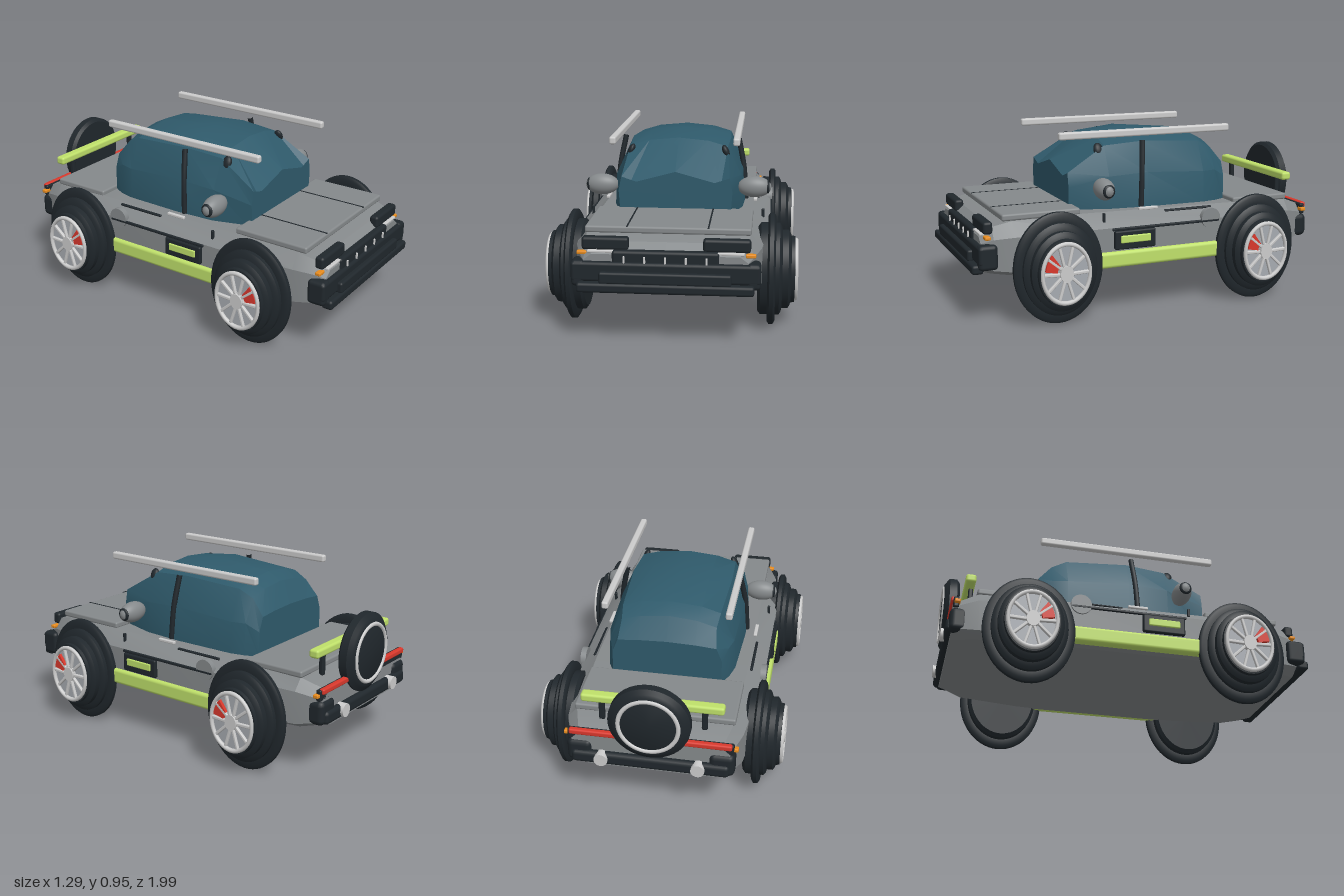
import * as THREE from 'three';
import { toCreasedNormals } from 'three/addons/utils/BufferGeometryUtils.js';
import { RoundedBoxGeometry } from 'three/addons/geometries/RoundedBoxGeometry.js';

const mat = (color) => new THREE.MeshStandardMaterial({ color });
const M = {
  paint: mat(0x85898b), light: mat(0xcccccc), rim: mat(0xa6aab0), dark: mat(0x20272c),
  glass: mat(0x2f5a6b), green: mat(0xbfe06a), red: mat(0xd8382c), orange: mat(0xe88c1e),
};

function add(parent, name, geo, material, x = 0, y = 0, z = 0) {
  const m = new THREE.Mesh(geo, material);
  m.name = name;
  m.position.set(x, y, z);
  parent.add(m);
  return m;
}

// Softly rounded block given by its size and centre
function block(parent, name, [w, h, d], [x, y, z], material) {
  const r = Math.min(w, h, d) * 0.3;
  return add(parent, name, new RoundedBoxGeometry(w, h, d, 2, r), material, x, y, z);
}

// Cylinder along the x or z axis
function drum(parent, name, r, length, axis, [x, y, z], material) {
  const geo = new THREE.CylinderGeometry(r, r, length, 32);
  if (axis === 'x') geo.rotateZ(Math.PI / 2); else geo.rotateX(Math.PI / 2);
  return add(parent, name, geo, material, x, y, z);
}

// Skin over mirrored half sections, listed bottom to top, from back to front
function loft(sections, crease) {
  const rings = sections.map(([z, half]) => {
    const other = half.slice(1, -1).reverse().map(([x, y]) => [-x, y]);
    return [...half, ...other].map(([x, y]) => [x, y, z]);
  });
  const n = rings[0].length, pos = [];
  const tri = (...corners) => corners.forEach((p) => pos.push(...p));
  for (let k = 0; k < rings.length - 1; k++) {
    for (let i = 0; i < n; i++) {
      const j = (i + 1) % n, a = rings[k], b = rings[k + 1];
      tri(a[i], a[j], b[j]);
      tri(a[i], b[j], b[i]);
    }
  }
  const first = rings[0], last = rings[rings.length - 1];
  const middle = (r) => [0, (r[0][1] + r[n / 2][1]) / 2, r[0][2]];
  for (let i = 0; i < n; i++) {
    const j = (i + 1) % n;
    tri(middle(first), first[j], first[i]);
    tri(middle(last), last[i], last[j]);
  }
  const geo = new THREE.BufferGeometry();
  geo.setAttribute('position', new THREE.Float32BufferAttribute(pos, 3));
  return toCreasedNormals(geo, crease);
}

// Lower hull: station, bottom half width, bottom, side half width, shoulder, top half width, top
function buildBody(car) {
  const stations = [
    [-0.95, 0.32, 0.28, 0.40, 0.43, 0.36, 0.47],
    [-0.82, 0.40, 0.26, 0.45, 0.46, 0.40, 0.52],
    [-0.40, 0.45, 0.25, 0.50, 0.47, 0.41, 0.53],
    [0.40, 0.45, 0.25, 0.50, 0.47, 0.41, 0.54],
    [0.78, 0.40, 0.25, 0.46, 0.46, 0.41, 0.535],
    [0.88, 0.36, 0.26, 0.43, 0.45, 0.39, 0.51],
    [0.94, 0.32, 0.27, 0.40, 0.43, 0.36, 0.46],
  ];
  const sections = stations.map(([z, wb, b, w, s, wt, t]) =>
    [z, [[0, b], [wb, b], [w, b + 0.03], [w, s], [wt, t], [0, t]]]);
  add(car, 'body', loft(sections, 0.35), M.paint);
  block(car, 'hood', [0.82, 0.035, 0.42], [0, 0.553, 0.62], M.paint);
  block(car, 'rearDeck', [0.82, 0.035, 0.34], [0, 0.535, -0.66], M.paint);
  for (const s of [-1, 1]) {
    block(car, 'hoodGroove', [0.008, 0.006, 0.4], [s * 0.2, 0.57, 0.63], M.dark);
  }
}

// Glasshouse with pillars, mirrors and roof rails
function buildCabin(car) {
  const sec = (z, ...side) => [z, [[0, 0.52], ...side]];
  add(car, 'cabin', loft([
    sec(-0.49, [0.29, 0.52], [0.29, 0.66], [0.26, 0.735], [0.15, 0.745], [0, 0.75]),
    sec(-0.42, [0.325, 0.52], [0.315, 0.70], [0.25, 0.82], [0.15, 0.85], [0, 0.865]),
    sec(-0.34, [0.345, 0.52], [0.335, 0.70], [0.26, 0.86], [0.16, 0.89], [0, 0.905]),
    sec(0, [0.36, 0.52], [0.345, 0.72], [0.275, 0.88], [0.16, 0.92], [0, 0.932]),
    sec(0.22, [0.35, 0.52], [0.34, 0.71], [0.265, 0.865], [0.16, 0.895], [0, 0.91]),
    sec(0.435, [0.29, 0.52], [0.30, 0.66], [0.285, 0.735], [0.24, 0.70], [0, 0.765]),
  ], 0.4), M.glass);
  for (const s of [-1, 1]) {
    const path = new THREE.CatmullRomCurve3([[0.36, 0.54, 0.045], [0.348, 0.72, 0.035], [0.315, 0.89, 0.02]]
      .map(([x, y, z]) => new THREE.Vector3(s * x, y, z)));
    add(car, 'doorPillar', new THREE.TubeGeometry(path, 10, 0.015, 8), M.dark);
    block(car, 'roofRail', [0.035, 0.04, 0.99], [s * 0.32, 0.935, 0], M.light);
    const mirror = add(car, 'mirror', new THREE.SphereGeometry(1, 32, 20), M.paint, s * 0.412, 0.66, 0.28);
    mirror.scale.set(0.09, 0.057, 0.05);
    const cap = add(car, 'mirrorCap', new THREE.SphereGeometry(1, 20, 12), M.dark, s * 0.482, 0.66, 0.28);
    cap.scale.set(0.014, 0.036, 0.034);
    const patch = add(car, 'windscreenClip', new THREE.SphereGeometry(1, 16, 10), M.dark, s * 0.255, 0.845, 0.25);
    patch.scale.set(0.018, 0.036, 0.026);
    patch.rotation.z = s * 0.4;
  }
}

// Sills, vents, trim lines and filler caps on both flanks
function buildFlanks(car) {
  for (const s of [-1, 1]) {
    block(car, 'sill', [0.06, 0.085, 0.76], [s * 0.49, 0.303, 0], M.green);
    block(car, 'sideVent', [0.03, 0.1, 0.23], [s * 0.505, 0.405, 0.145], M.dark);
    block(car, 'ventInsert', [0.02, 0.04, 0.17], [s * 0.518, 0.41, 0.145], M.green);
    block(car, 'trimLine', [0.016, 0.014, 0.62], [s * 0.503, 0.462, -0.04], M.dark);
    const line = block(car, 'shoulderLine', [0.014, 0.012, 0.28], [s * 0.43, 0.52, -0.2], M.dark);
    line.rotation.z = -s * 0.6;
    block(car, 'doorHandle', [0.02, 0.016, 0.11], [s * 0.415, 0.541, 0.03], M.light);
    drum(car, 'fillerCap', 0.055, 0.03, 'x', [s * 0.495, 0.475, -0.3], M.paint);
    block(car, 'shoulderPeg', [0.015, 0.05, 0.015], [s * 0.46, 0.52, 0.3], M.dark);
  }
}

function buildFront(car) {
  block(car, 'grille', [0.52, 0.1, 0.05], [0, 0.43, 0.925], M.dark);
  for (let i = -2; i <= 2; i++) {
    block(car, 'grilleBar', [0.01, 0.06, 0.012], [i * 0.1, 0.425, 0.952], M.light);
  }
  block(car, 'frontBumper', [0.92, 0.1, 0.055], [0, 0.375, 0.938], M.dark);
  block(car, 'bumperPlate', [0.64, 0.06, 0.04], [0, 0.352, 0.97], M.dark);
  block(car, 'frontLip', [0.86, 0.05, 0.06], [0, 0.303, 0.965], M.dark);
  for (const s of [-1, 1]) {
    block(car, 'bumperEnd', [0.07, 0.13, 0.1], [s * 0.425, 0.365, 0.915], M.dark);
    block(car, 'lampHousing', [0.23, 0.065, 0.05], [s * 0.295, 0.507, 0.902], M.dark);
    block(car, 'lampStrip', [0.2, 0.012, 0.03], [s * 0.28, 0.472, 0.925], M.light);
    const fin = add(car, 'lampFin', new THREE.ConeGeometry(0.03, 0.06, 4), M.paint, s * 0.335, 0.455, 0.925);
    fin.scale.z = 0.5;
    block(car, 'frontIndicator', [0.05, 0.018, 0.03], [s * 0.41, 0.46, 0.91], M.orange);
  }
}

function buildRear(car) {
  block(car, 'rearBumper', [0.8, 0.07, 0.07], [0, 0.335, -0.945], M.dark);
  block(car, 'tailPanel', [0.84, 0.06, 0.03], [0, 0.455, -0.935], M.dark);
  block(car, 'wing', [0.72, 0.045, 0.055], [0, 0.637, -0.863], M.green);
  for (const s of [-1, 1]) {
    block(car, 'rearBumperEnd', [0.13, 0.13, 0.1], [s * 0.36, 0.36, -0.915], M.dark);
    block(car, 'tailLamp', [0.24, 0.03, 0.03], [s * 0.29, 0.475, -0.947], M.red);
    block(car, 'rearIndicator', [0.04, 0.02, 0.03], [s * 0.42, 0.455, -0.93], M.orange);
    block(car, 'wingPost', [0.03, 0.12, 0.025], [s * 0.26, 0.56, -0.855], M.dark);
    drum(car, 'exhaust', 0.035, 0.08, 'z', [s * 0.245, 0.34, -0.955], M.light);
  }
  // Spare wheel on the tail
  const spare = new THREE.Group();
  spare.name = 'spareWheel';
  spare.position.set(0, 0.575, -0.94);
  const tyre = [[0, -0.035], [0.19, -0.035], [0.207, -0.02], [0.207, 0.02], [0.185, 0.035], [0.17, 0.045], [0, 0.045]]
    .map(([r, h]) => new THREE.Vector2(r, h));
  const geo = new THREE.LatheGeometry(tyre, 48).rotateX(-Math.PI / 2);
  add(spare, 'spareTyre', toCreasedNormals(geo, 0.6), M.dark);
  add(spare, 'spareRing', new THREE.TorusGeometry(0.15, 0.012, 10, 48), M.light, 0, 0, -0.042);
  car.add(spare);
}

// Stepped tyre with a raised centre rib, rim, spokes and caliper; slightly narrow along z
function buildWheel(s, z) {
  const wheel = new THREE.Group();
  wheel.name = 'wheel';
  wheel.position.set(0, 0.295, z);
  wheel.scale.z = 0.82;
  const profile = [[0, 0.44], [0.22, 0.44], [0.24, 0.455], [0.24, 0.49], [0.275, 0.49], [0.29, 0.5], [0.29, 0.52],
    [0.275, 0.53], [0.24, 0.53], [0.24, 0.55], [0.225, 0.56], [0.205, 0.565], [0.205, 0.595], [0.19, 0.605],
    [0.175, 0.61], [0.172, 0.628], [0.155, 0.63], [0.15, 0.615], [0, 0.615]].map(([r, h]) => new THREE.Vector2(r, h));
  const tyre = new THREE.LatheGeometry(profile, 56).rotateZ(-s * Math.PI / 2);
  add(wheel, 'tyre', toCreasedNormals(tyre, 0.6), M.dark);
  drum(wheel, 'rimDisc', 0.15, 0.012, 'x', [s * 0.615, 0, 0], M.rim);
  add(wheel, 'rimRing', new THREE.TorusGeometry(0.152, 0.012, 10, 48).rotateY(Math.PI / 2), M.light, s * 0.633, 0, 0);
  drum(wheel, 'hub', 0.042, 0.03, 'x', [s * 0.63, 0, 0], M.light);
  for (let i = 0; i < 5; i++) {
    const spoke = new THREE.Group();
    spoke.name = 'spoke';
    spoke.rotation.x = i * Math.PI * 2 / 5;
    for (const t of [-1, 1]) {
      const arm = block(spoke, 'spokeArm', [0.018, 0.115, 0.018], [s * 0.63, 0.092, t * 0.03], M.light);
      arm.rotation.x = t * 0.28;
    }
    wheel.add(spoke);
  }
  const arc = new THREE.Shape();
  arc.absarc(0, 0, 0.135, 0.15, 0.85, false);
  arc.absarc(0, 0, 0.06, 0.85, 0.15, true);
  const caliper = new THREE.ExtrudeGeometry(arc, { depth: 0.024, bevelEnabled: false, curveSegments: 10 });
  caliper.translate(0, 0, -0.012).rotateY(-Math.PI / 2);
  add(wheel, 'caliper', caliper, M.red, s * 0.626, 0, 0);
  return wheel;
}

export function createModel() {
  const car = new THREE.Group();
  car.name = 'offRoadCar';
  buildBody(car);
  buildCabin(car);
  buildFlanks(car);
  buildFront(car);
  buildRear(car);
  for (const s of [-1, 1]) for (const z of [-0.57, 0.57]) car.add(buildWheel(s, z));
  return car;
}
